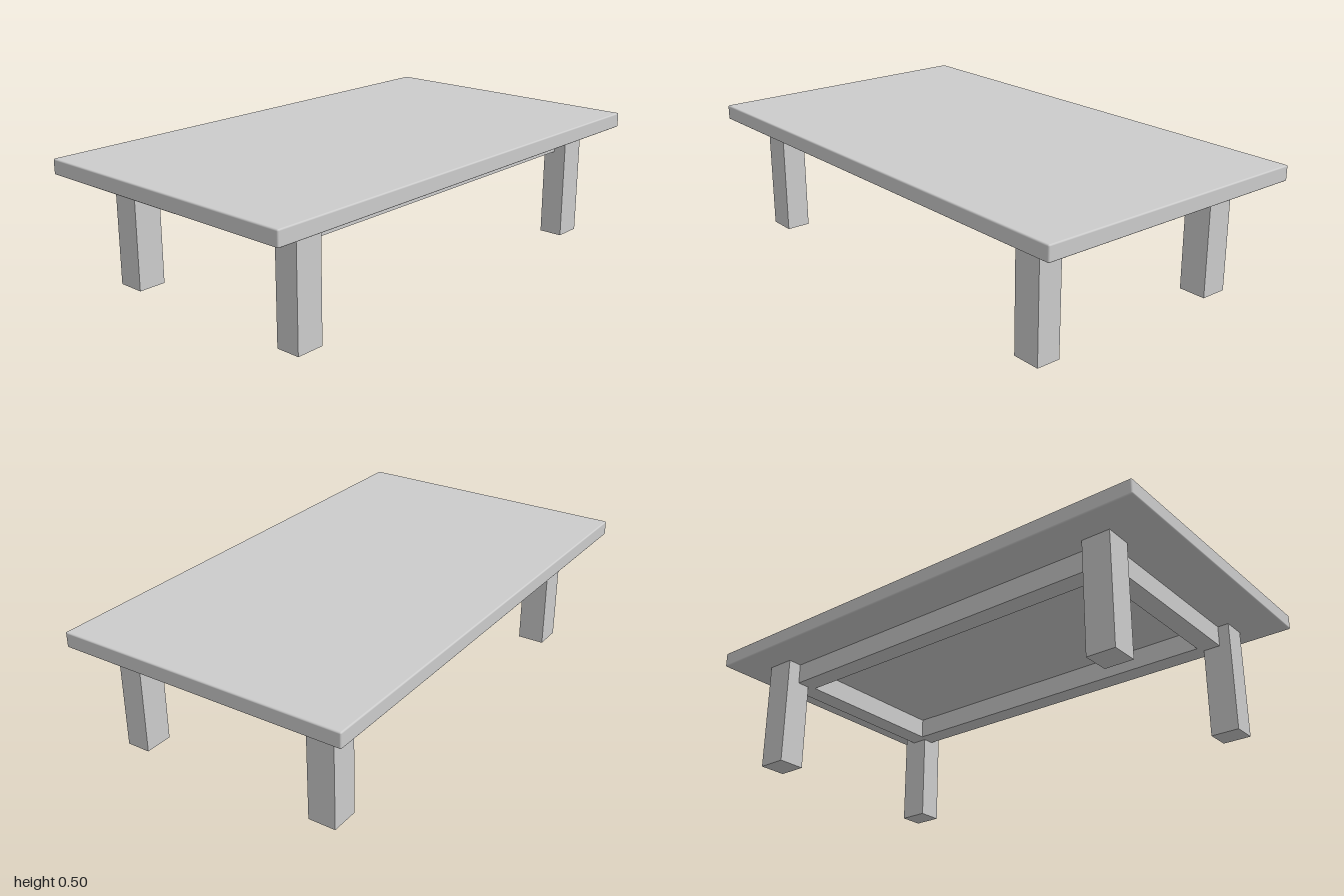
import * as THREE from 'three';
import { RoundedBoxGeometry } from 'three/addons/geometries/RoundedBoxGeometry.js';

const material = new THREE.MeshStandardMaterial({ color: 0xcccccc });

// Box given by its extents on each axis
function block(name, [x0, x1], [y0, y1], [z0, z1], radius = 0) {
  const size = [x1 - x0, y1 - y0, z1 - z0];
  const geometry = radius
    ? new RoundedBoxGeometry(...size, 2, radius)
    : new THREE.BoxGeometry(...size);
  const mesh = new THREE.Mesh(geometry, material);
  mesh.name = name;
  mesh.position.set((x0 + x1) / 2, (y0 + y1) / 2, (z0 + z1) / 2);
  return mesh;
}

export function createModel() {
  const table = new THREE.Group();
  table.name = 'lowTable';

  // Slab top with softened edges
  table.add(block('tableTop', [-1, 1], [0.443, 0.503], [-0.58, 0.58], 0.006));

  // Four square legs, set slightly off centre under the top
  const legX = { right: [-0.83, -0.717], left: [0.743, 0.857] };
  const legZ = { front: [0.387, 0.484], back: [-0.452, -0.342] };
  for (const [end, z] of Object.entries(legZ)) {
    for (const [side, x] of Object.entries(legX)) {
      table.add(block(`${end}Leg${side}`, x, [0, 0.443], z));
    }
  }

  // Apron rails joining the legs
  const railY = [0.36, 0.443];
  table.add(
    block('frontRail', [-0.78, 0.8], railY, [0.355, 0.435]),
    block('backRail', [-0.78, 0.8], railY, [-0.395, -0.315]),
    block('rightRail', [-0.785, -0.705], railY, [-0.39, 0.43]),
    block('leftRail', [0.73, 0.81], railY, [-0.39, 0.43])
  );

  return table;
}
